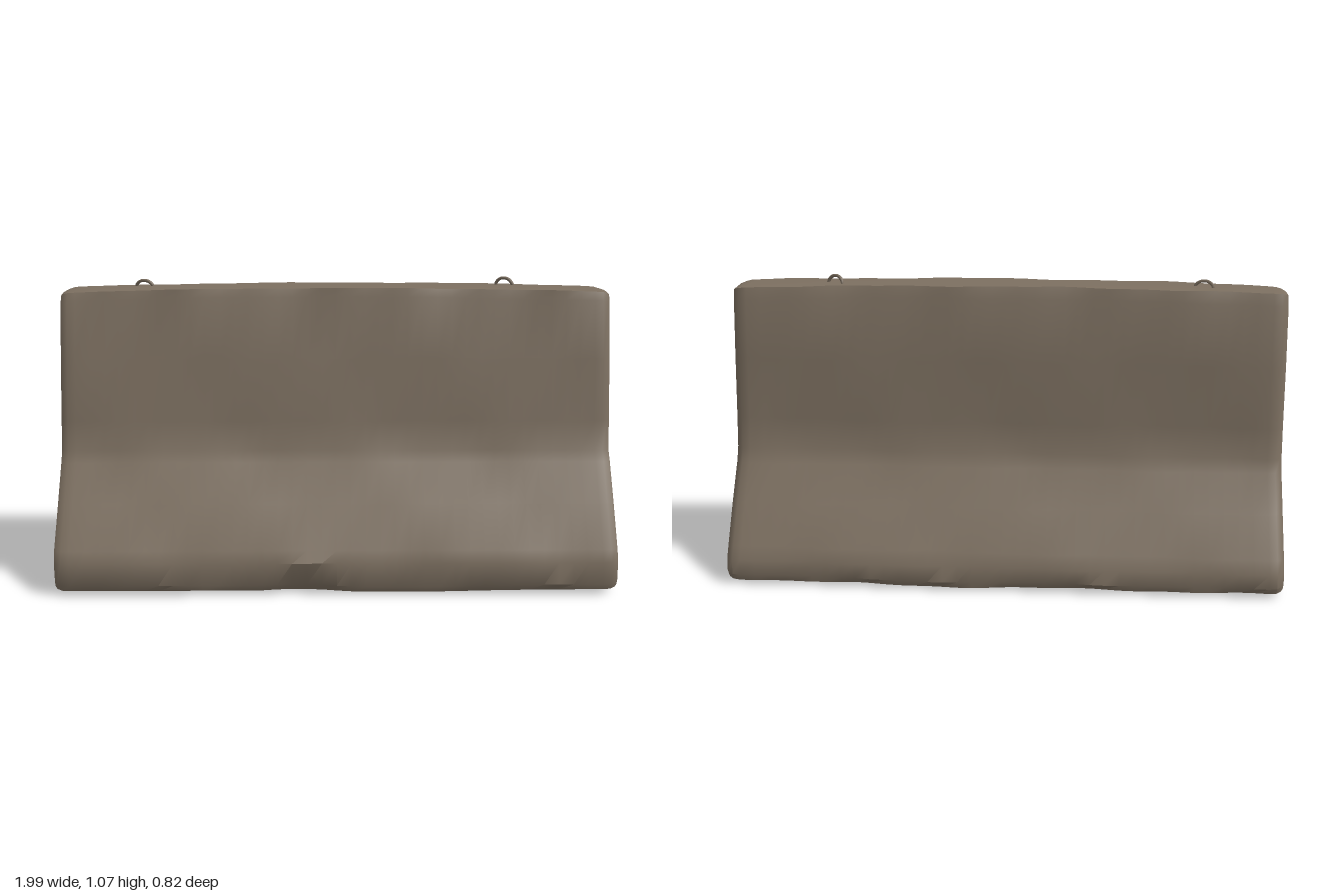
import * as THREE from 'three';
import { toCreasedNormals } from 'three/addons/utils/BufferGeometryUtils.js';

// Cross-section as [z, y]: up the front, over the top, down the back, along the underside
const PROFILE = [
  [0.395, 0.022], [0.408, 0.045], [0.405, 0.125], [0.385, 0.165], [0.29, 0.305], [0.2, 0.435],
  [0.175, 0.475], [0.158, 0.58], [0.11, 0.8], [0.067, 1.01], [0.056, 1.04],
  [-0.03, 1.044], [-0.108, 1.04], [-0.122, 1.0], [-0.15, 0.78], [-0.167, 0.56],
  [-0.18, 0.45], [-0.205, 0.4], [-0.29, 0.275], [-0.375, 0.14], [-0.4, 0.095],
  [-0.405, 0.045], [-0.395, 0.022], [-0.13, 0.012], [0.15, 0.014],
];
const CENTRE = [-0.01, 0.42];

// Long body lofted along x, with worn surfaces and softened ends
function barrierGeometry() {
  const stations = [[-0.993, 1], [-0.985, 0.5], [-0.968, 0.1]];
  for (let i = 0; i <= 36; i++) stations.push([-0.94 + (1.88 * i) / 36, 0]);
  stations.push([0.968, 0.1], [0.985, 0.5], [0.993, 1]);

  const positions = [];
  const index = [];
  const n = PROFILE.length;
  for (const [x, inset] of stations) {
    PROFILE.forEach(([z, y], j) => {
      // slow waves stand in for worn, uneven concrete
      const wear = 0.003 * Math.sin(x * 9 + j * 1.3) + 0.002 * Math.sin(x * 23 + j * 2.1);
      let pz = z + wear - Math.sign(z) * inset * (z > 0 ? 0.014 : 0.028);
      let py = y + 0.4 * wear;
      if (y > 0.9) py += 0.008 * (1 - 2 * x * x) - inset * 0.01;
      if (y < 0.05) py += inset * 0.012 - 0.007 * Math.exp(-(((x - 0.25) / 0.3) ** 2));
      // shallow chip along the front foot
      if (z > 0.38 && y < 0.1) pz -= 0.016 * Math.exp(-(((x + 0.12) / 0.12) ** 4));
      positions.push(x, py, pz);
    });
  }
  for (let i = 0; i < stations.length - 1; i++) {
    for (let j = 0; j < n; j++) {
      const a = i * n + j, d = i * n + ((j + 1) % n);
      index.push(a, a + n, d + n, a, d + n, d);
    }
  }
  // end faces
  for (const side of [-1, 1]) {
    const hub = positions.length / 3;
    const start = side < 0 ? 0 : (stations.length - 1) * n;
    positions.push(side * 0.994, CENTRE[1], CENTRE[0]);
    for (let j = 0; j < n; j++) {
      const a = start + j, b = start + ((j + 1) % n);
      if (side < 0) index.push(hub, a, b);
      else index.push(hub, b, a);
    }
  }
  const geometry = new THREE.BufferGeometry();
  geometry.setAttribute('position', new THREE.Float32BufferAttribute(positions, 3));
  geometry.setIndex(index);
  return toCreasedNormals(geometry, 0.7);
}

// Bent steel bar whose feet sink into the top face
function hookGeometry(halfWidth, height) {
  const points = [
    [-1, -0.02], [-0.9, 0.4 * height], [-0.45, 0.9 * height], [0, height],
    [0.45, 0.9 * height], [0.9, 0.4 * height], [1, -0.02],
  ].map(([x, y]) => new THREE.Vector3(x * halfWidth, y, 0));
  return new THREE.TubeGeometry(new THREE.CatmullRomCurve3(points), 18, 0.006, 6);
}

export function createModel() {
  const model = new THREE.Group();
  model.name = 'concreteBarrier';

  const concrete = new THREE.MeshStandardMaterial({ color: 0x7d7061 });
  concrete.name = 'concrete';

  const body = new THREE.Mesh(barrierGeometry(), concrete);
  body.name = 'barrierBody';
  model.add(body);

  // lifting hooks: x, z, height, turn about y
  const hooks = [
    ['rightLiftingHook', -0.7, -0.042, 0.025, -0.3],
    ['leftLiftingHook', 0.625, -0.056, 0.031, -0.5],
  ];
  for (const [name, x, z, height, turn] of hooks) {
    const hook = new THREE.Mesh(hookGeometry(0.034, height), concrete);
    hook.name = name;
    hook.position.set(x, 1.04, z);
    hook.rotation.set(0.15, turn, 0);
    model.add(hook);
  }
  return model;
}
